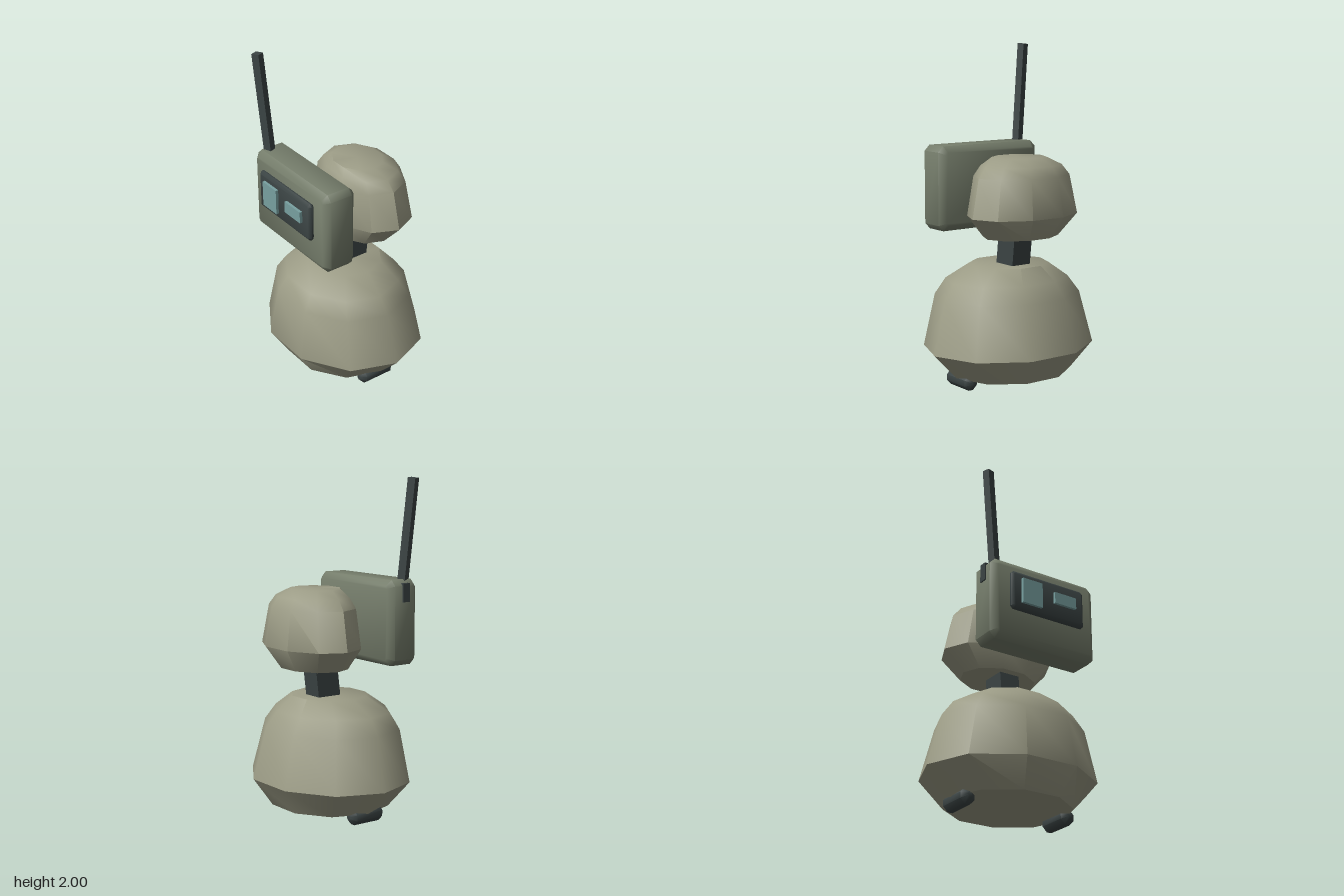
import * as THREE from 'three';
import { toCreasedNormals } from 'three/addons/utils/BufferGeometryUtils.js';

const mat = (color) => new THREE.MeshStandardMaterial({ color });
const SHELL = mat(0x9c9c86), CASE = mat(0x757d6b), DARK = mat(0x3b4444), LENS = mat(0x78a0a0);

// Ten-sided shell; each ring is [y, x half-width, z half-depth, z centre]
function shell(rings) {
  const sides = 10;
  const cap = ([y, , , z]) => [y, 0, 0, z];
  const rows = [cap(rings[0]), ...rings, cap(rings[rings.length - 1])];
  const geo = new THREE.LatheGeometry(
    rows.map(([y, x]) => new THREE.Vector2(x, y)), sides, Math.PI / 2);
  const p = geo.attributes.position;
  const reach = Math.sin(0.4 * Math.PI); // a decagon's widest z
  for (let i = 0; i < p.count; i++) {
    const [, , depth, z] = rows[i % rows.length];
    const a = Math.PI / 2 + Math.floor(i / rows.length) * 2 * Math.PI / sides;
    p.setZ(i, z + Math.cos(a) * depth / reach);
  }
  return toCreasedNormals(geo, 0.8);
}

// Box with every edge chamfered by c, centred on the origin
function chamferBox(w, h, d, c) {
  const x = w / 2 - c, y = h / 2 - c, k = c * 0.4;
  const s = new THREE.Shape([
    [-x + k, -y], [x - k, -y], [x, -y + k], [x, y - k],
    [x - k, y], [-x + k, y], [-x, y - k], [-x, -y + k],
  ].map(([a, b]) => new THREE.Vector2(a, b)));
  const geo = new THREE.ExtrudeGeometry(s, {
    depth: d - 2 * c, bevelEnabled: true, bevelSize: c, bevelThickness: c, bevelSegments: 1,
  });
  geo.translate(0, 0, -(d - 2 * c) / 2);
  return toCreasedNormals(geo, 0.85);
}

export function createModel() {
  const root = new THREE.Group();
  root.name = 'robot';
  const add = (name, geo, material, x = 0, y = 0, z = 0) => {
    const m = new THREE.Mesh(geo, material);
    m.name = name;
    m.position.set(x, y, z);
    root.add(m);
    return m;
  };

  // Rounded body and smaller head
  add('body', shell([
    [0.06, 0.38, 0.333, -0.003],
    [0.22, 0.535, 0.435, -0.003],
    [0.53, 0.455, 0.373, 0.01],
    [0.625, 0.385, 0.313, 0.015],
    [0.715, 0.24, 0.214, -0.005],
  ]), SHELL);
  add('head', shell([
    [0.89, 0.24, 0.177, -0.12],
    [1.02, 0.36, 0.242, -0.138],
    [1.25, 0.31, 0.217, -0.13],
    [1.31, 0.26, 0.187, -0.125],
    [1.355, 0.165, 0.138, -0.103],
  ]), SHELL);

  // Neck leans back
  const neck = add('neck', new THREE.BoxGeometry(0.13, 0.3, 0.155), DARK, 0, 0.8, -0.058);
  neck.rotation.x = -0.12;

  // Face unit with display and two lenses
  add('faceCase', chamferBox(0.72, 0.505, 0.212, 0.035), CASE, 0, 1.157, 0.277);
  add('displayPanel', chamferBox(0.505, 0.24, 0.04, 0.016), DARK, 0, 1.21, 0.4);
  add('rightLens', new THREE.BoxGeometry(0.135, 0.155, 0.03), LENS, -0.122, 1.21, 0.422);
  add('leftLens', new THREE.BoxGeometry(0.15, 0.07, 0.03), LENS, 0.108, 1.225, 0.422);

  // Antenna, set in a small socket
  const foot = new THREE.Vector3(-0.293, 1.29, 0.303), tip = new THREE.Vector3(-0.364, 1.998, 0.33);
  const axis = tip.clone().sub(foot);
  const antenna = add('antenna', new THREE.BoxGeometry(0.05, axis.length(), 0.044), DARK);
  antenna.position.lerpVectors(foot, tip, 0.5);
  antenna.quaternion.setFromUnitVectors(new THREE.Vector3(0, 1, 0), axis.normalize());
  antenna.rotateY(0.35);
  add('antennaSocket', new THREE.BoxGeometry(0.09, 0.11, 0.05), DARK, -0.323, 1.335, 0.285);

  // Skids under the body
  for (const [name, side] of [['leftFoot', 1], ['rightFoot', -1]]) {
    add(name, chamferBox(0.09, 0.095, 0.24, 0.03), DARK, side * 0.335, 0.0475, 0.01);
  }
  return root;
}
